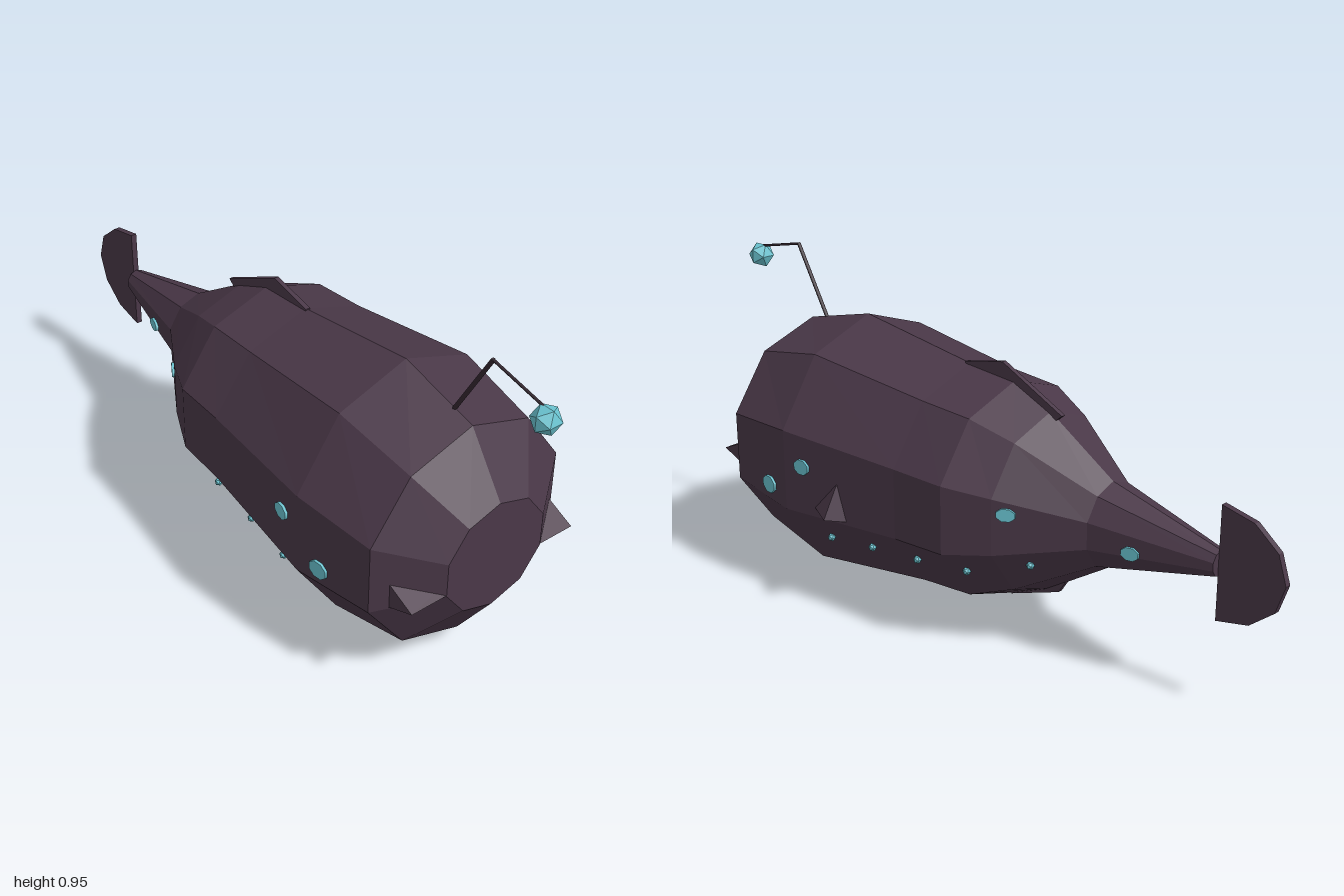
import * as THREE from 'three';
import { ConvexGeometry } from 'three/addons/geometries/ConvexGeometry.js';

const CY = 0.398, CZ = 0.015; // body axis
// body stations from tail to nose: x, half height, half width
const STATIONS = [
  [-0.8, 0.037, 0.034], [-0.45, 0.125, 0.11], [-0.23, 0.265, 0.248], [-0.1, 0.322, 0.31],
  [0.07, 0.335, 0.318], [0.48, 0.394, 0.362], [0.73, 0.333, 0.33], [0.845, 0.165, 0.168],
];

// distance from the axis to the ten-sided skin at a given x and y
function skinZ(x, y) {
  let i = 0;
  while (i < STATIONS.length - 2 && x > STATIONS[i + 1][0]) i++;
  const [a, b] = [STATIONS[i], STATIONS[i + 1]];
  const t = (x - a[0]) / (b[0] - a[0]);
  const ry = THREE.MathUtils.lerp(a[1], b[1], t), rz = THREE.MathUtils.lerp(a[2], b[2], t);
  const v = (y - CY) / ry;
  for (let k = 0; k < 5; k++) {
    const a0 = k * Math.PI / 5, a1 = a0 + Math.PI / 5;
    if (v >= Math.cos(a1)) {
      const s = (Math.cos(a0) - v) / (Math.cos(a0) - Math.cos(a1));
      return rz * THREE.MathUtils.lerp(Math.sin(a0), Math.sin(a1), s);
    }
  }
  return 0;
}

export function createModel() {
  const group = new THREE.Group();
  group.name = 'anglerfish';
  const skin = new THREE.MeshStandardMaterial({ color: 0x4a3848 });
  skin.name = 'plum skin';
  const dark = new THREE.MeshStandardMaterial({ color: 0x33262f });
  dark.name = 'dark stalk';
  const glow = new THREE.MeshStandardMaterial({ color: 0x6ac3d0 });
  glow.name = 'cyan glow';

  const add = (name, geometry, material) => {
    const mesh = new THREE.Mesh(geometry, material);
    mesh.name = name;
    group.add(mesh);
    return mesh;
  };

  // Body: ten-sided tube reshaped to the stations
  const rows = STATIONS.length - 1;
  const tube = new THREE.CylinderGeometry(1, 1, 1, 10, rows);
  const p = tube.attributes.position;
  for (let i = 0; i < p.count; i++) {
    const [x, ry, rz] = STATIONS[Math.round((p.getY(i) + 0.5) * rows)];
    p.setXYZ(i, x, CY + ry * p.getZ(i), CZ + rz * p.getX(i));
  }
  const body = tube.toNonIndexed();
  body.computeVertexNormals();
  add('body', body, skin);

  // Flat outlines extruded across the body axis
  const plate = (name, points, depth) => {
    const shape = new THREE.Shape(points.map(([x, y]) => new THREE.Vector2(x, y)));
    const geometry = new THREE.ExtrudeGeometry(shape, { depth, bevelEnabled: false });
    geometry.translate(0, 0, CZ - depth / 2);
    return add(name, geometry, skin);
  };
  const tail = [];
  for (let i = 0; i <= 6; i++) {
    const a = Math.PI / 2 + i * Math.PI / 6;
    tail.push([-0.8 + 0.2 * Math.cos(a), 0.401 + 0.162 * Math.sin(a)]);
  }
  plate('tailFin', tail, 0.018);
  plate('dorsalFin', [[-0.275, 0.662], [-0.2, 0.6], [0.08, 0.65], [0.08, 0.737], [-0.06, 0.767]], 0.014);
  plate('analFin', [[-0.32, 0.21], [-0.275, 0.14], [-0.1, 0.076], [-0.1, 0.2]], 0.014);
  plate('jawBar', [[0.845, 0.35], [0.73, 0.4], [0.73, 0.3]], 0.546);

  // Small fin on the right flank
  add('sideFin', new ConvexGeometry([
    new THREE.Vector3(0.28, 0.31, -0.362), new THREE.Vector3(0.245, 0.295, -0.3),
    new THREE.Vector3(0.4, 0.31, -0.3), new THREE.Vector3(0.28, 0.42, -0.3),
  ]), skin);

  // Lure: two thin rods and a faceted bulb
  const rod = (name, a, b, r) => {
    const from = new THREE.Vector3(...a, CZ), to = new THREE.Vector3(...b, CZ);
    const dir = to.clone().sub(from);
    const mesh = add(name, new THREE.CylinderGeometry(r, r, dir.length(), 6), dark);
    mesh.position.copy(from).add(to).multiplyScalar(0.5);
    mesh.quaternion.setFromUnitVectors(new THREE.Vector3(0, 1, 0), dir.normalize());
  };
  rod('lureStalk', [0.655, 0.73], [0.78, 0.952], 0.006);
  rod('lureTip', [0.778, 0.951], [0.955, 0.914], 0.004);
  add('lureBulb', new THREE.IcosahedronGeometry(0.04, 0), glow).position.set(0.96, 0.885, CZ);

  for (const side of [1, -1]) {
    const label = side > 0 ? 'Left' : 'Right';
    // Glowing patches lying on the flank
    for (const [x, y, w, h] of [[-0.575, 0.38, 0.05, 0.036], [-0.265, 0.44, 0.052, 0.036],
      [0.41, 0.425, 0.052, 0.044], [0.56, 0.33, 0.058, 0.05]]) {
      const geometry = new THREE.CylinderGeometry(0.54, 0.54, 0.009, 8);
      geometry.rotateY(Math.PI / 8).rotateX(Math.PI / 2).scale(w, h, 1);
      const patch = add('glowPatch' + label, geometry, glow);
      const slope = (skinZ(x + 0.02, y) - skinZ(x - 0.02, y)) / 0.04;
      patch.position.set(x, y, CZ + side * (skinZ(x, y) + 0.003));
      patch.rotation.y = -side * Math.atan(slope);
    }
    // Row of light dots along the belly
    for (const [x, y] of [[-0.31, 0.29], [-0.145, 0.245], [0.02, 0.235], [0.19, 0.222], [0.35, 0.207]]) {
      add('lightDot' + label, new THREE.IcosahedronGeometry(0.012, 0), glow)
        .position.set(x, y, CZ + side * (skinZ(x, y) + 0.008));
    }
  }
  return group;
}
